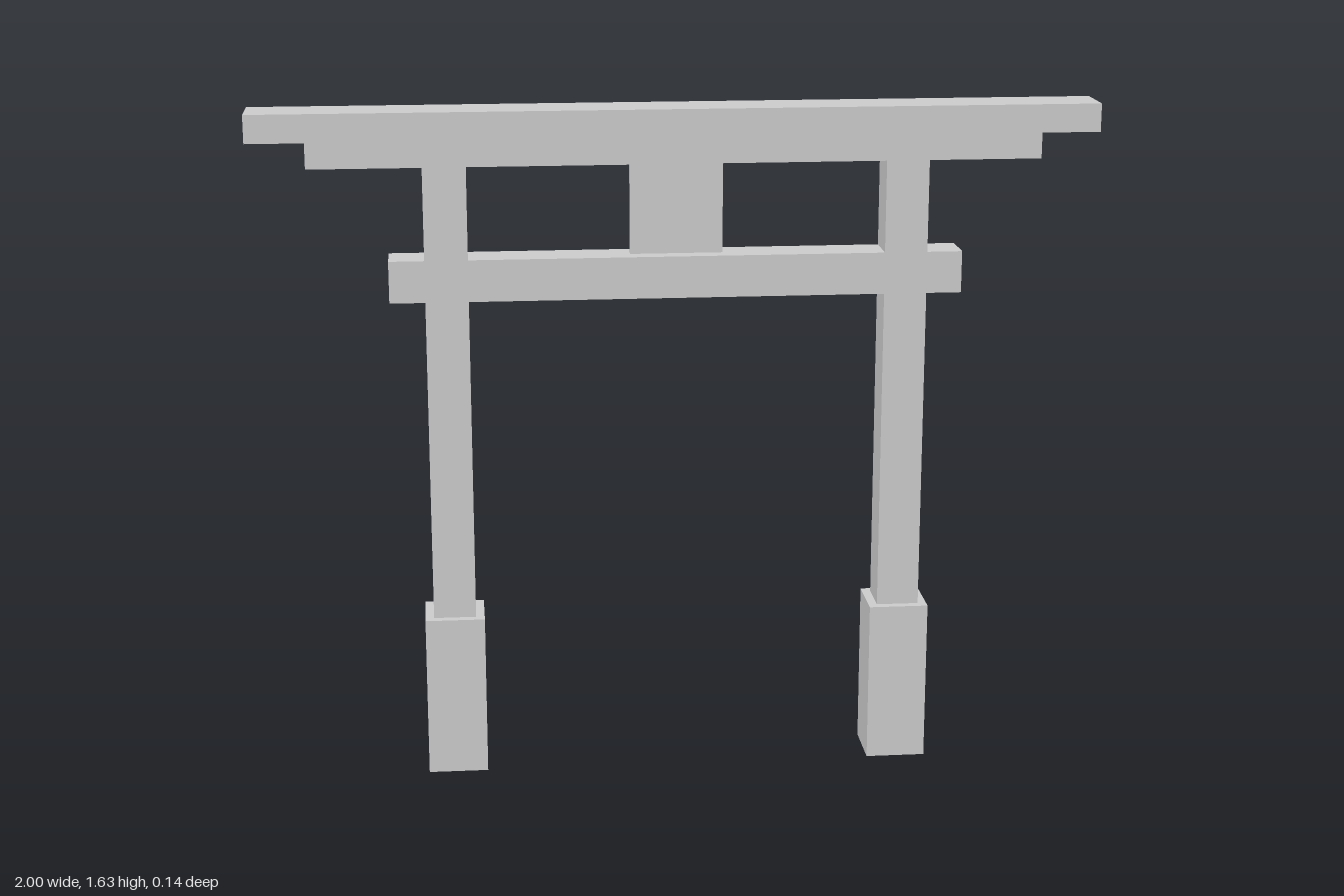
import * as THREE from 'three';

export function createModel() {
  const gate = new THREE.Group();
  gate.name = 'gate';
  const material = new THREE.MeshStandardMaterial({ color: 0xcccccc, flatShading: true });

  // Square-cut timber or block, centred on z, spanning bottom to top
  function addBlock(name, x, bottom, top, width, depth) {
    const mesh = new THREE.Mesh(new THREE.BoxGeometry(width, top - bottom, depth), material);
    mesh.name = name;
    mesh.position.set(x, (bottom + top) / 2, 0);
    gate.add(mesh);
  }

  // Posts standing in wider footings
  for (const [side, sign] of [['left', 1], ['right', -1]]) {
    addBlock(side + 'Footing', sign * 0.545, 0, 0.395, 0.144, 0.142);
    addBlock(side + 'Post', sign * 0.545, 0.395, 1.5, 0.102, 0.1);
  }

  // Tie beam through the posts, and the thin tablet above it
  addBlock('tieBeam', 0, 1.18, 1.28, 1.36, 0.1);
  addBlock('tablet', 0, 1.28, 1.5, 0.22, 0.02);

  // Double top lintel
  addBlock('lowerLintel', 0, 1.5, 1.563, 1.727, 0.1);
  addBlock('topLintel', 0, 1.563, 1.63, 2, 0.125);

  return gate;
}
